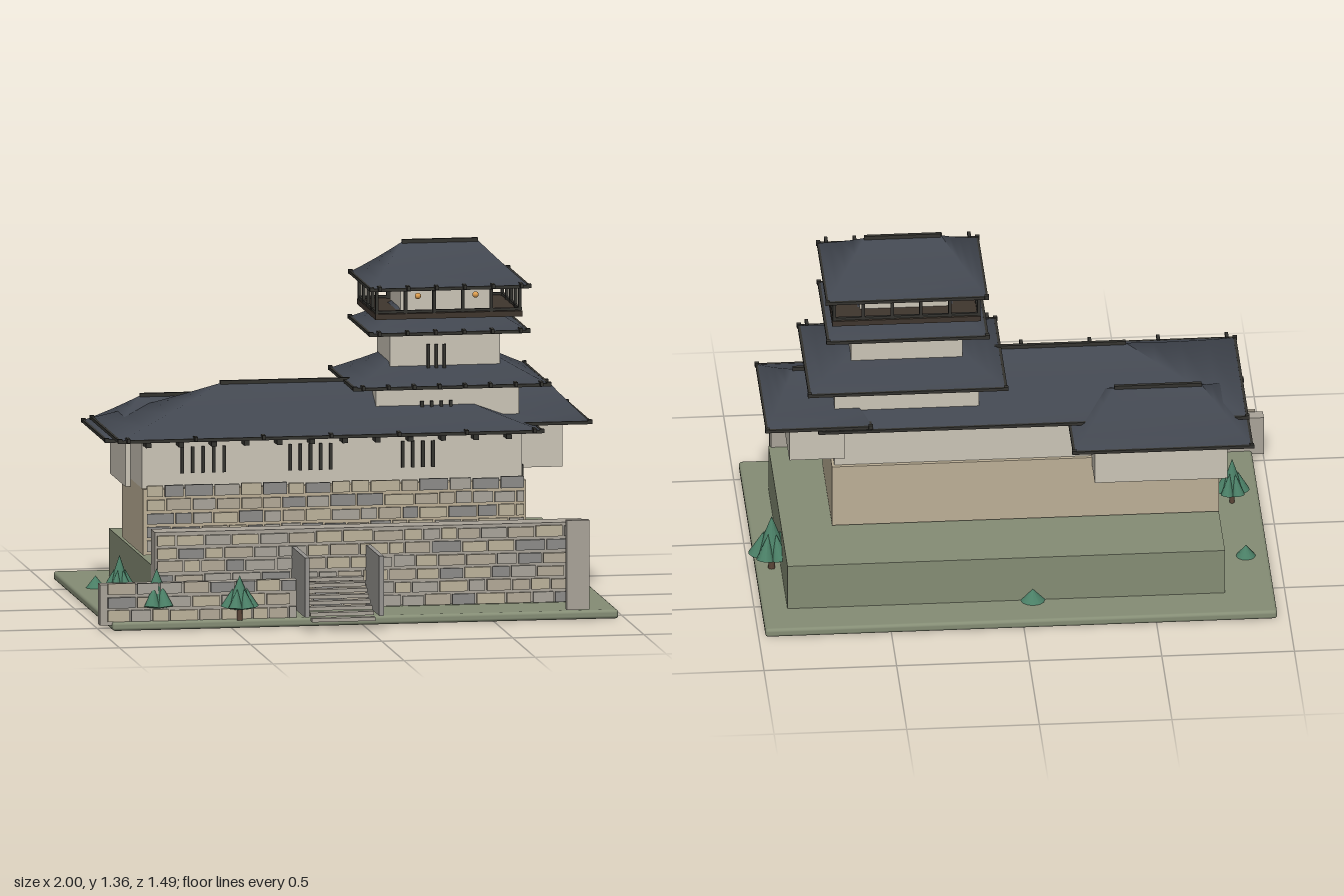
import * as THREE from 'three';
import { RoundedBoxGeometry } from 'three/addons/geometries/RoundedBoxGeometry.js';

const mat = (color, extra = {}) => {
  const m = new THREE.MeshStandardMaterial(extra);
  m.color.set(color);
  return m;
};
const M = {
  grass: mat(0x858d75), plaster: mat(0xcbc5b7), base: mat(0xbdb097), wall: mat(0xaaa499),
  slab: mat(0x969490), roof: mat(0x424750, { side: THREE.DoubleSide }), dark: mat(0x34332f),
  wood: mat(0x3f362e), leaf: mat(0x4a7f66), trunk: mat(0x5b4638), lamp: mat(0xe0a050),
};
const stoneMats = [0xbdb39b, 0xa9a59b, 0x8d8c89, 0xb3aa98].map(c => mat(c));

let seed = 7;
const rand = () => (seed = (seed * 16807) % 2147483647) / 2147483647;

export function createModel() {
  const model = new THREE.Group();

  const add = (name, geometry, material, x, y, z, parent = model) => {
    const mesh = new THREE.Mesh(geometry, material);
    mesh.name = name;
    mesh.position.set(x, y, z);
    parent.add(mesh);
    return mesh;
  };
  // Box given by its extents along each axis
  const box = (name, material, x0, x1, y0, y1, z0, z1, parent) =>
    add(name, new THREE.BoxGeometry(x1 - x0, y1 - y0, z1 - z0), material,
      (x0 + x1) / 2, (y0 + y1) / 2, (z0 + z1) / 2, parent);
  const group = name => {
    const g = new THREE.Group();
    g.name = name;
    model.add(g);
    return g;
  };

  // Courses of uneven stones on a front-facing wall
  function stones(name, x0, x1, y0, y1, z, rows) {
    const g = group(name), h = (y1 - y0) / rows;
    for (let r = 0; r < rows; r++) {
      let x = x0;
      while (x < x1 - 0.03) {
        const w = Math.min(0.06 + rand() * 0.06, x1 - x);
        const y = y0 + r * h;
        box('stone', stoneMats[Math.floor(rand() * 4)], x + 0.004, x + w - 0.004,
          y + 0.004, y + h - 0.004 - rand() * 0.006, z - 0.005, z + 0.006 + rand() * 0.006, g);
        x += w;
      }
    }
  }

  // Hipped roof: rectangular rings from the eaves to the ridge, slightly sagging
  function hipRoof(name, { x, z, hx, hz, rx, rz, y0, y1, caps }) {
    const g = group(name), p = [], idx = [];
    const ring = (a, b, y) => p.push(-a, y, b, a, y, b, a, y, -b, -a, y, -b);
    const steps = 4;
    for (let i = 0; i <= steps; i++) {
      const t = i / steps;
      ring(hx + (rx - hx) * t, hz + (rz - hz) * t,
        y0 + (y1 - y0) * t - 0.025 * (y1 - y0) * Math.sin(Math.PI * t));
    }
    for (let i = 0; i < steps; i++) for (let k = 0; k < 4; k++) {
      const a = i * 4 + k, b = i * 4 + (k + 1) % 4;
      idx.push(a, b, b + 4, a, b + 4, a + 4);
    }
    const top = steps * 4;
    idx.push(top, top + 1, top + 2, top, top + 2, top + 3);
    ring(hx, hz, y0 - 0.004);
    const u = top + 4;
    idx.push(u, u + 2, u + 1, u, u + 3, u + 2);
    const geo = new THREE.BufferGeometry();
    geo.setAttribute('position', new THREE.Float32BufferAttribute(p, 3));
    geo.setIndex(idx);
    geo.computeVertexNormals();
    add('roofSurface', geo, M.roof, x, 0, z, g);
    // Eave beams and ridge beam
    for (const s of [-1, 1]) {
      box('eaveBeam', M.dark, x - hx, x + hx, y0 - 0.009, y0 + 0.003, z + s * hz - 0.005, z + s * hz + 0.005, g);
      box('sideBeam', M.dark, x + s * hx - 0.005, x + s * hx + 0.005, y0 - 0.009, y0 + 0.003, z - hz, z + hz, g);
      for (const q of [-1, 1])
        box('cornerCap', M.dark, x + s * hx - 0.008, x + s * hx + 0.008, y0 - 0.008, y0 + 0.008,
          z + q * hz - 0.008, z + q * hz + 0.008, g);
    }
    if (rz === 0) box('ridgeBeam', M.dark, x - rx, x + rx, y1 - 0.006, y1 + 0.01, z - 0.007, z + 0.007, g);
    // Tile ends along the front eave
    for (let i = 0; i < caps; i++) {
      const cx = x - hx + 0.03 + (2 * hx - 0.06) * i / (caps - 1);
      box('tileEnd', M.dark, cx - 0.006, cx + 0.006, y0 - 0.004, y0 + 0.012, z + hz - 0.015, z + hz + 0.026, g);
    }
  }

  // Vertical window bars
  const bars = (x0, x1, n, y0, y1, z) => {
    const g = group('windowBars');
    for (let i = 0; i < n; i++) {
      const x = x0 + (x1 - x0) * i / (n - 1);
      box('bar', M.dark, x - 0.006, x + 0.006, y0, y1, z, z + 0.01, g);
    }
  };

  // Ground and terrace
  add('ground', new RoundedBoxGeometry(1.93, 0.034, 1.33, 3, 0.012), M.grass, 0.01, 0.017, -0.08);
  box('terrace', M.grass, -0.77, 0.88, 0.03, 0.215, -0.585, 0.36);

  // Retaining wall, low outer wall and gate pillar
  box('retainingWall', M.wall, -0.77, 0.87, 0.05, 0.35, 0.35, 0.44);
  stones('retainingStones', -0.765, 0.865, 0.045, 0.345, 0.442, 6);
  box('lowWall', M.wall, -1, -0.25, 0.02, 0.175, 0.515, 0.565);
  stones('lowWallStones', -0.975, -0.25, 0.03, 0.185, 0.567, 3);
  box('gatePillar', M.wall, 0.775, 0.86, 0.04, 0.38, 0.57, 0.6);

  // Stairs between two side walls
  const stairs = group('stairs');
  for (let i = 0; i < 12; i++) {
    const z = 0.735 - i * 0.037, y = 0.045 + i * 0.0165;
    box('step', M.wall, -0.22, 0.022, y - 0.007, y + 0.007, z - 0.034, z, stairs);
  }
  for (const x of [-0.24, 0.043])
    box('stairSideWall', M.slab, x - 0.009, x + 0.009, 0.058, 0.285, 0.275, 0.745, stairs);

  // Main hall
  box('stoneBase', M.base, -0.77, 0.69, 0.225, 0.475, -0.295, 0.18);
  stones('stoneBaseFacing', -0.76, 0.685, 0.235, 0.495, 0.182, 5);
  box('hallWalls', M.plaster, -0.77, 0.68, 0.475, 0.67, -0.28, 0.15);
  box('rearWing', M.plaster, -0.79, -0.29, 0.445, 0.62, -0.44, -0.1);
  box('sideWing', M.plaster, 0.64, 0.85, 0.505, 0.68, -0.285, 0.065);
  box('sideBracket', M.dark, 0.64, 0.695, 0.41, 0.52, 0.078, 0.102);
  bars(-0.617, -0.457, 5, 0.53, 0.63, 0.15);
  bars(-0.205, -0.05, 5, 0.53, 0.63, 0.15);
  bars(0.225, 0.34, 4, 0.53, 0.63, 0.15);
  const rafters = group('rafters');
  for (let i = 0; i < 12; i++) {
    const x = -0.755 + i * 0.125;
    box('rafter', M.dark, x - 0.01, x + 0.01, 0.637, 0.655, 0.15, 0.215, rafters);
  }
  hipRoof('hallRoof', { x: -0.065, z: -0.065, hx: 0.805, hz: 0.31, rx: 0.37, rz: 0, y0: 0.67, y1: 0.835, caps: 7 });
  hipRoof('rearWingRoof', { x: -0.54, z: -0.28, hx: 0.335, hz: 0.26, rx: 0.165, rz: 0, y0: 0.635, y1: 0.762, caps: 0 });
  hipRoof('sideWingRoof', { x: 0.745, z: -0.115, hx: 0.195, hz: 0.26, rx: 0.08, rz: 0, y0: 0.685, y1: 0.802, caps: 0 });

  // Tower tiers
  box('towerLowerWalls', M.plaster, 0.135, 0.68, 0.69, 0.835, -0.29, 0.08);
  bars(0.31, 0.42, 4, 0.72, 0.77, 0.08);
  hipRoof('towerLowerRoof', { x: 0.41, z: -0.11, hx: 0.37, hz: 0.275, rx: 0.16, rz: 0.065, y0: 0.835, y1: 0.945, caps: 8 });
  box('towerMiddleWalls', M.plaster, 0.195, 0.615, 0.88, 1.03, -0.25, 0.04);
  bars(0.34, 0.4, 3, 0.89, 0.98, 0.046);
  hipRoof('towerMiddleRoof', { x: 0.407, z: -0.105, hx: 0.3, hz: 0.235, rx: 0.15, rz: 0.065, y0: 1.035, y1: 1.125, caps: 6 });

  // Lookout with gallery
  box('galleryFloor', M.wood, 0.13, 0.69, 1.085, 1.106, -0.31, 0.1);
  box('lookoutRoom', M.plaster, 0.24, 0.58, 1.09, 1.18, -0.218, 0.01);
  const posts = group('galleryPosts');
  const post = (x, z) => box('post', M.dark, x - 0.006, x + 0.006, 1.1, 1.19, z - 0.006, z + 0.006, posts);
  for (const z of [-0.3, 0.09]) for (let i = 0; i < 6; i++) post(0.137 + i * 0.109, z);
  for (const x of [0.137, 0.682]) for (let i = 1; i < 4; i++) post(x, 0.09 - i * 0.0975);
  for (const z of [-0.3, 0.09]) box('rail', M.dark, 0.13, 0.69, 1.108, 1.118, z - 0.005, z + 0.005, posts);
  for (const x of [0.137, 0.682]) box('rail', M.dark, x - 0.005, x + 0.005, 1.108, 1.118, -0.3, 0.09, posts);
  for (const x of [0.3, 0.52]) for (const z of [-0.26, 0.05])
    add('lantern', new THREE.SphereGeometry(0.012, 10, 8), M.lamp, x, 1.165, z);
  hipRoof('towerTopRoof', { x: 0.41, z: -0.107, hx: 0.3, hz: 0.235, rx: 0.145, rz: 0, y0: 1.205, y1: 1.348, caps: 6 });

  // Conifers: a centre cone ringed by leaning side cones
  function tree(x, z, h, r) {
    const g = group('tree');
    g.position.set(x, 0.03, z);
    add('trunk', new THREE.CylinderGeometry(r * 0.13, r * 0.16, h * 0.5, 8), M.trunk, 0, h * 0.25, 0, g);
    add('crown', new THREE.ConeGeometry(r * 0.72, h * 0.68, 12), M.leaf, 0, h * 0.66, 0, g);
    for (let i = 0; i < 6; i++) {
      const a = i * Math.PI / 3;
      const cone = add('bough', new THREE.ConeGeometry(r * 0.42, h * 0.45, 10), M.leaf,
        Math.cos(a) * r * 0.52, h * 0.5, Math.sin(a) * r * 0.52, g);
      cone.rotation.set(-Math.sin(a) * 0.25, 0, Math.cos(a) * 0.25);
    }
  }
  tree(-0.78, 0.54, 0.2, 0.075);
  tree(-0.47, 0.58, 0.17, 0.068);
  tree(0.915, -0.26, 0.225, 0.082);
  tree(-0.85, 0.12, 0.19, 0.06);

  // Low shrubs
  for (const [x, z, r] of [[-0.045, -0.585, 0.05], [-0.87, -0.3, 0.04], [-0.66, 0.51, 0.04]])
    add('shrub', new THREE.ConeGeometry(r, 0.05, 12), M.leaf, x, 0.055, z);

  return model;
}
